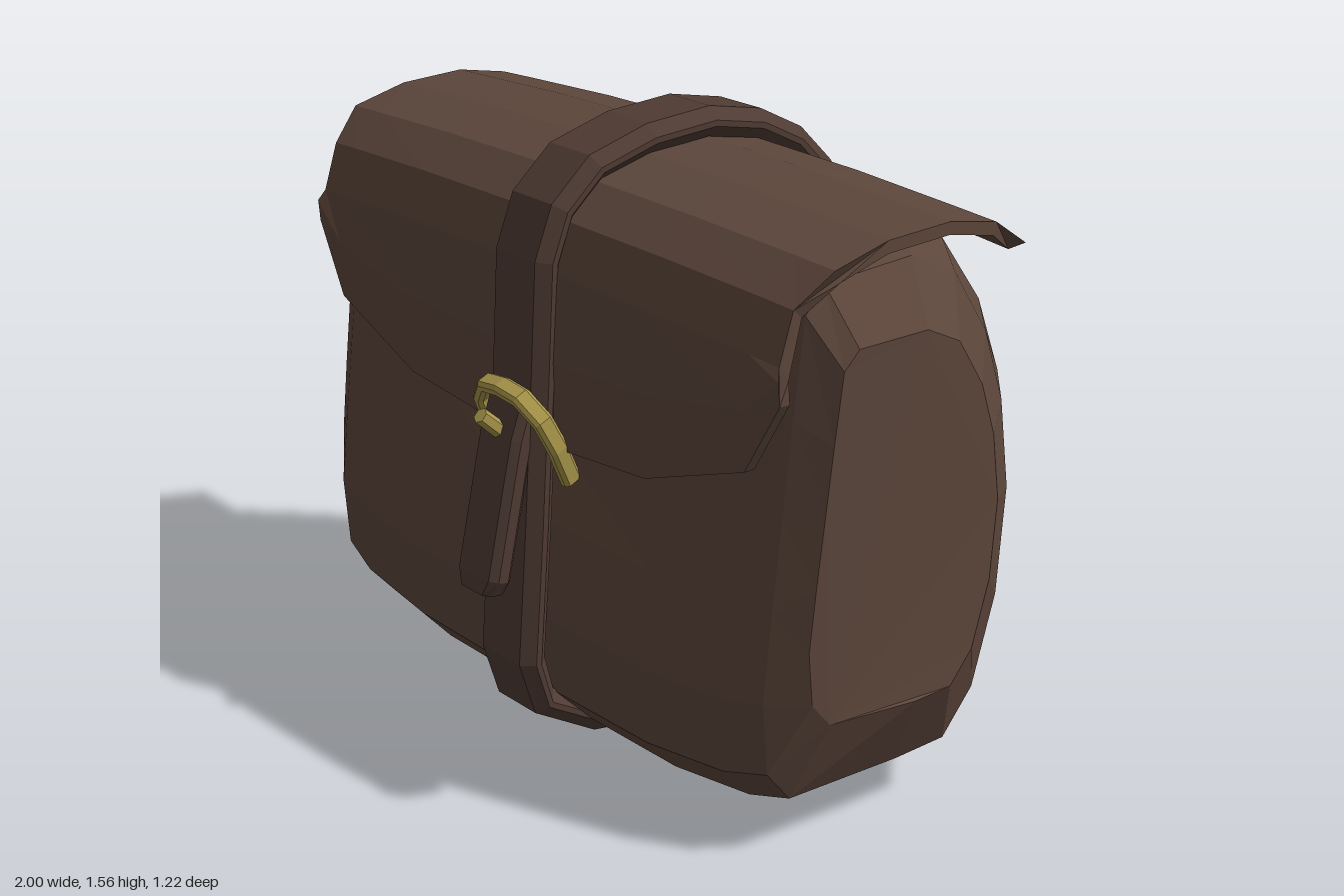
import * as THREE from 'three';

const leather = new THREE.MeshStandardMaterial({ color: 0x5c463b, flatShading: true });
const darkLeather = new THREE.MeshStandardMaterial({ color: 0x4f3b33, flatShading: true });
const brass = new THREE.MeshStandardMaterial({ color: 0xa8954a, flatShading: true });

// Skin a row of equal-length rings; either capped at both ends or joined into a loop
function loft(rings, closed = false) {
  const n = rings[0].length, m = rings.length;
  const pos = rings.flat().flatMap((p) => [p.x, p.y, p.z]);
  const idx = [];
  for (let i = 0; i < (closed ? m : m - 1); i++) {
    for (let j = 0; j < n; j++) {
      const k = (j + 1) % n, r = (i + 1) % m;
      const a = i * n + j, b = i * n + k, c = r * n + j, d = r * n + k;
      idx.push(a, c, b, b, c, d);
    }
  }
  if (!closed) {
    [0, m - 1].forEach((i) => {
      const flat = rings[i].map((p) => new THREE.Vector2(p.z, p.y));
      const facing = rings[i].map((p) => new THREE.Vector2(p.x, p.z));
      const area = (s) => Math.abs(THREE.ShapeUtils.area(s));
      const sideways = rings[i].map((p) => new THREE.Vector2(p.x, p.y));
      // triangulate in the plane where the ring looks largest
      const best = [flat, facing, sideways].sort((s, t) => area(t) - area(s))[0];
      const ccw = THREE.ShapeUtils.area(best) > 0;
      for (const [a, b, c] of THREE.ShapeUtils.triangulateShape(best, [])) {
        // ShapeUtils keeps the ring's own direction for its triangles or flips to ccw
        const cross = (best[b].x - best[a].x) * (best[c].y - best[a].y) - (best[b].y - best[a].y) * (best[c].x - best[a].x);
        const along = (cross > 0) === ccw;
        const o = i * n;
        if (along === (i === 0)) idx.push(o + a, o + b, o + c);
        else idx.push(o + a, o + c, o + b);
      }
    });
  }
  const g = new THREE.BufferGeometry();
  g.setAttribute('position', new THREE.Float32BufferAttribute(pos, 3));
  g.setIndex(idx);
  g.computeVertexNormals();
  return g;
}

// Sweep a section of [inward, sideways] offsets along a flat xy path
function sweep(path, section, closed = false, widths = []) {
  const m = path.length;
  const rings = path.map(([x, y], i) => {
    const p = path[closed ? (i + m - 1) % m : Math.max(i - 1, 0)];
    const q = path[closed ? (i + 1) % m : Math.min(i + 1, m - 1)];
    const l = Math.hypot(q[0] - p[0], q[1] - p[1]);
    const nx = -(q[1] - p[1]) / l, ny = (q[0] - p[0]) / l;
    return section.map(([a, w]) => new THREE.Vector3(x + nx * a, y + ny * a, w * (widths[i] ?? 1)));
  });
  return loft(rings, closed);
}

// Rectangle with cut corners, clockwise, from a0 to a1 and half-width w
function cutRect(a0, a1, w, c) {
  return [[a0 + c, -w], [a0, -w + c], [a0, w - c], [a0 + c, w], [a1 - c, w], [a1, w - c], [a1, -w + c], [a1 - c, -w]];
}

function mesh(name, geometry, material) {
  const m = new THREE.Mesh(geometry, material);
  m.name = name;
  return m;
}

// Repeat stations of the +x half on the -x half, ordered from -x to +x
const mirror = (half) => [...half.slice(1).reverse().map(([x, ...r]) => [-x, ...r]), ...half];

function createBody() {
  // side profile as [z, y]
  const profile = [
    [0.34, 0.07], [0.43, 0.16], [0.45, 0.36], [0.42, 0.6], [0.385, 0.85], [0.35, 1.1], [0.31, 1.36], [0.24, 1.43],
    [-0.1, 1.45], [-0.28, 1.38], [-0.42, 1.2], [-0.5, 1.0], [-0.54, 0.75], [-0.51, 0.45], [-0.42, 0.2], [-0.3, 0.08], [-0.1, 0.07],
  ];
  // x, back, front, bottom, top
  const stations = mirror([
    [0, -0.54, 0.45, 0.07, 1.45], [0.48, -0.49, 0.445, 0.075, 1.44], [0.75, -0.45, 0.435, 0.11, 1.42],
    [0.88, -0.33, 0.41, 0.15, 1.38], [1, -0.18, 0.35, 0.36, 1.25],
  ]);
  const map = THREE.MathUtils.mapLinear;
  return loft(stations.map(([x, zb, zf, yb, yt]) =>
    profile.map(([z, y]) => new THREE.Vector3(
      // end panels lean in a little toward the front
      x - Math.sign(x) * (Math.abs(x) === 1 ? Math.max(0, z) * 0.08 : 0),
      map(y, 0.07, 1.45, yb, yt), map(z, -0.54, 0.45, zb, zf)))));
}

function createFlap() {
  // x and height of the hem
  const stations = mirror([[0, 0.8], [0.48, 0.835], [0.82, 0.95], [0.93, 1.13]]);
  return loft(stations.map(([x, hem]) => {
    const outer = [
      [0.44, hem], [0.445, (hem + 1.24) / 2], [0.43, 1.24], [0.39, 1.36], [0.3, 1.44],
      [0.14, 1.48], [-0.05, 1.49], [-0.2, 1.465], [-0.3, 1.4],
    ];
    const inner = [
      [0.41, hem], [0.415, (hem + 1.24) / 2], [0.4, 1.23], [0.365, 1.34], [0.285, 1.41],
      [0.14, 1.45], [-0.05, 1.46], [-0.19, 1.435], [-0.28, 1.38],
    ];
    return [...outer, ...inner.reverse()].map(([z, y]) => {
      // side edges pinch at the front corner and flare over the top
      const flare = Math.abs(x) > 0.9 ? (y > 1.38 ? 0.02 : y > 1.2 ? -0.015 : 0) : 0;
      return new THREE.Vector3(x + Math.sign(x) * flare, y - (y > 1.2 ? 0.03 * x * x : 0), z * (1 - 0.06 * x * x));
    });
  }));
}

export function createModel() {
  const bag = new THREE.Group();
  bag.name = 'satchel';
  bag.add(mesh('body', createBody(), leather), mesh('flap', createFlap(), leather));

  // strap and fastening sit slightly off centre; their paths are [z, y]
  const fastening = new THREE.Group();
  fastening.name = 'fastening';
  fastening.position.x = 0.035;
  bag.add(fastening);

  const loop = [
    [0.31, 0.02], [0.49, 0.12], [0.535, 0.26], [0.51, 0.6], [0.485, 1.0], [0.47, 1.27], [0.42, 1.4], [0.31, 1.5],
    [0.14, 1.55], [-0.05, 1.565], [-0.21, 1.535], [-0.34, 1.47], [-0.44, 1.37], [-0.52, 1.23], [-0.57, 1.06], [-0.6, 0.83],
    [-0.6, 0.7], [-0.575, 0.46], [-0.52, 0.27], [-0.46, 0.17], [-0.39, 0.08], [-0.3, 0.03], [-0.12, 0.005], [0.19, 0.005],
  ];
  const strap = mesh('strap', sweep(loop, cutRect(0, 0.075, 0.108, 0.03), true), darkLeather);
  strap.rotation.y = -Math.PI / 2;

  // loose strap end hanging below the buckle
  const tail = [[0.585, 0.45], [0.578, 0.49], [0.525, 0.74], [0.505, 0.83], [0.47, 0.93]];
  const strapEnd = mesh('strapEnd', sweep(tail, cutRect(-0.032, 0.032, 0.08, 0.018), false, [0.7, 1, 1, 1, 1]), darkLeather);
  strapEnd.rotation.y = -Math.PI / 2;

  // arched buckle frame, tilted forward at the top
  const arch = [[0.128, 0], [0.135, 0.1], [0.122, 0.18], [0.07, 0.235], [0, 0.245], [-0.07, 0.235], [-0.122, 0.18], [-0.135, 0.1], [-0.128, 0]];
  const buckle = mesh('buckle', sweep(arch, cutRect(-0.017, 0.017, 0.025, 0.009)), brass);
  buckle.position.set(0, 0.73, 0.41);
  buckle.rotation.x = 0.44;

  // prong poking through the strap end
  const prong = mesh('prong', new THREE.CylinderGeometry(0.02, 0.022, 0.12, 6), brass);
  prong.position.set(0, 0.855, 0.535);
  prong.rotation.x = 0.85;

  fastening.add(strap, strapEnd, buckle, prong);
  return bag;
}
